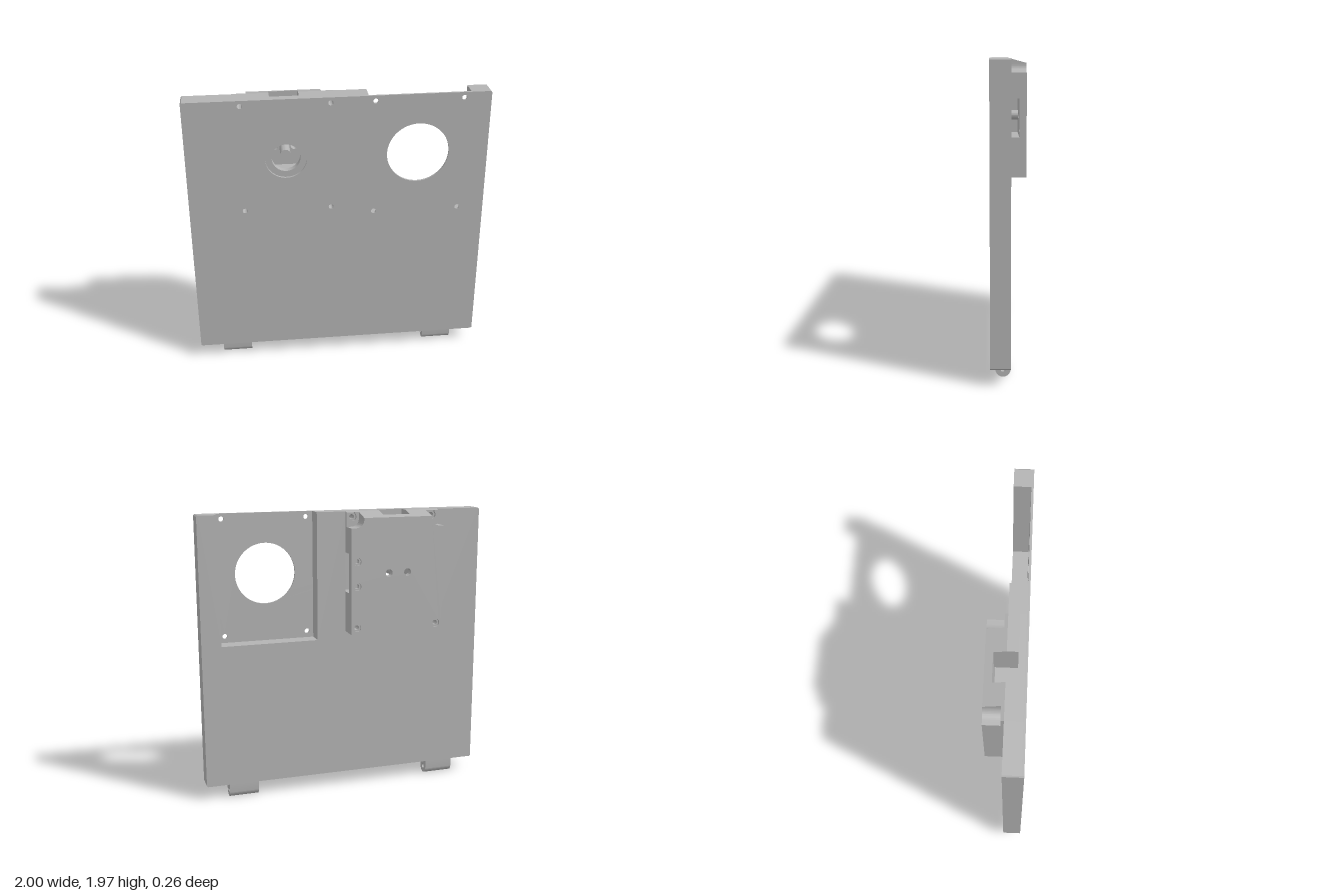
import * as THREE from 'three';
import { toCreasedNormals } from 'three/addons/utils/BufferGeometryUtils.js';

const grey = new THREE.MeshStandardMaterial({ color: 0xb3b3b3 });
grey.name = 'grey';

// Housing limits and shared hole positions
const L = -0.675, R = -0.007, B = 1.14, T = 1.967;
const KX = -0.345, KY = 1.555;
const SCREW = 0.017, BORE = 0.028;
const upperScrews = [[-0.63, 1.93], [-0.05, 1.93]];
const lowerScrews = [[-0.63, 1.185], [-0.05, 1.185]];
const sideScrews = [[-0.05, 1.47], [-0.05, 1.64]];
const sightHoles = [[KX - 0.067, KY], [KX + 0.067, KY]];

const poly = (pts) => new THREE.Shape(pts.map(([x, y]) => new THREE.Vector2(x, y)));

function drill(shape, centres, r) {
  for (const [x, y] of centres) {
    shape.holes.push(new THREE.Path().absarc(x, y, r, 0, Math.PI * 2, true));
  }
  return shape;
}

function slab(shapes, z0, z1) {
  const g = new THREE.ExtrudeGeometry(shapes, { depth: z1 - z0, bevelEnabled: false, curveSegments: 32 });
  return g.translate(0, 0, z0);
}

function add(group, name, geometry) {
  const mesh = new THREE.Mesh(toCreasedNormals(geometry, 0.5), grey);
  mesh.name = name;
  group.add(mesh);
  return mesh;
}

// Corner cut-outs around the upper screws, with a rounded inner corner
function leftCut(s) {
  s.lineTo(L + 0.09, T);
  s.lineTo(L + 0.09, 1.93);
  s.quadraticCurveTo(L + 0.09, 1.865, L + 0.025, 1.865);
  s.lineTo(L, 1.865);
}
function rightCut(s) {
  s.lineTo(R, 1.865);
  s.lineTo(R - 0.025, 1.865);
  s.quadraticCurveTo(R - 0.09, 1.865, R - 0.09, 1.93);
  s.lineTo(R - 0.09, T);
}

// Solid housing section
function fullSection(cut) {
  const s = new THREE.Shape().moveTo(L, B);
  s.lineTo(R, B);
  if (cut) rightCut(s); else s.lineTo(R, T);
  if (cut) leftCut(s); else s.lineTo(L, T);
  s.closePath();
  return s;
}

// Section through the cavity, which opens at the top and on one side
function hollowSection(cut) {
  const x0 = KX - 0.095, x1 = KX + 0.095, y0 = 1.42, y1 = 1.69;
  const main = new THREE.Shape().moveTo(L, B);
  main.lineTo(R, B);
  main.lineTo(R, y0);
  main.lineTo(x0, y0);
  main.lineTo(x0, T);
  if (cut) leftCut(main); else main.lineTo(L, T);
  main.closePath();
  const block = new THREE.Shape().moveTo(x1, y1);
  block.lineTo(R, y1);
  if (cut) rightCut(block); else block.lineTo(R, T);
  block.lineTo(x1, T);
  block.closePath();
  return [main, block];
}

// Tilt the top of the housing down towards the back
function slopeTop(g) {
  const p = g.attributes.position;
  for (let i = 0; i < p.count; i++) {
    if (p.getY(i) > 1.95 && p.getZ(i) < 0) p.setY(i, T + p.getZ(i) * 0.27);
  }
  return g;
}

function createPanel() {
  const panel = new THREE.Group();
  panel.name = 'panel';

  // Front sheet with rounded corners, window and screw holes
  const c = 0.008;
  const sheet = poly([[-1 + c, 0.1], [1 - c, 0.1], [1, 0.1 + c], [1, T - c], [1 - c, T],
    [-1 + c, T], [-1, T - c], [-1, 0.1 + c]]);
  drill(sheet, [...upperScrews, ...lowerScrews], SCREW);
  drill(sheet, [[0.24, 1.93], [0.82, 1.93], [0.24, 1.135], [0.82, 1.135]], SCREW);
  drill(sheet, [[0.53, KY]], 0.208);
  drill(sheet, [[KX, KY]], 0.138);
  add(panel, 'frontSheet', slab(sheet, 0.112, 0.127));

  // Thick body with a window recess and a housing recess, both open at the top
  const body = poly([[-1 + c, 0.1], [1 - c, 0.1], [1, 0.1 + c], [1, T - c], [1 - c, T],
    [0.865, T], [0.865, 1.09], [0.195, 1.09], [0.195, T],
    [R, T], [R, B], [L, B], [L, T], [-1 + c, T], [-1, T - c], [-1, 0.1 + c]]);
  add(panel, 'panelBody', slab(body, 0, 0.112));
  return panel;
}

function createHousing() {
  const housing = new THREE.Group();
  housing.name = 'lockHousing';

  const front = drill(fullSection(false), [...upperScrews, ...lowerScrews], SCREW);
  drill(front, [[KX, KY]], 0.095);
  add(housing, 'housingFront', slab(front, 0.07, 0.112));

  // Hollow middle: [z0, z1, corner cuts, upper hole radius]
  for (const [z0, z1, cut, r] of [[0, 0.07, false, SCREW], [-0.02, 0, false, BORE], [-0.08, -0.02, true, 0]]) {
    const [main, block] = hollowSection(cut);
    drill(main, lowerScrews, SCREW);
    if (r) {
      drill(main, [upperScrews[0]], r);
      drill(block, [upperScrews[1]], r);
    }
    add(housing, 'housingMiddle', slopeTop(slab([main, block], z0, z1)));
  }

  // Back wall, counterbored from behind
  for (const [z0, z1, r] of [[-0.115, -0.08, SCREW], [-0.13, -0.115, BORE]]) {
    const wall = drill(fullSection(true), [...lowerScrews, ...sideScrews], r);
    drill(wall, sightHoles, 0.025);
    add(housing, 'housingBack', slopeTop(slab(wall, z0, z1)));
  }

  // Spindle across the cavity
  const spindle = new THREE.CylinderGeometry(0.034, 0.034, 0.14, 32).rotateX(Math.PI / 2);
  add(housing, 'spindle', spindle.translate(KX, KY, -0.01));
  return housing;
}

// Hinge knuckle with a pin hole, profile drawn in z and y
function createHinge(x0, x1) {
  const r = 0.047;
  const s = new THREE.Shape().moveTo(0, 0.102);
  s.lineTo(0, r);
  s.absarc(r, r, r, Math.PI, Math.PI * 2, false);
  s.lineTo(2 * r, 0.102);
  s.closePath();
  drill(s, [[r, r]], 0.015);
  return slab(s, -x1, -x0).rotateY(-Math.PI / 2);
}

export function createModel() {
  const model = new THREE.Group();
  model.name = 'doorPanel';
  model.add(createPanel(), createHousing());
  add(model, 'rightHinge', createHinge(-0.84, -0.635));
  add(model, 'leftHinge', createHinge(0.635, 0.84));
  return model;
}
